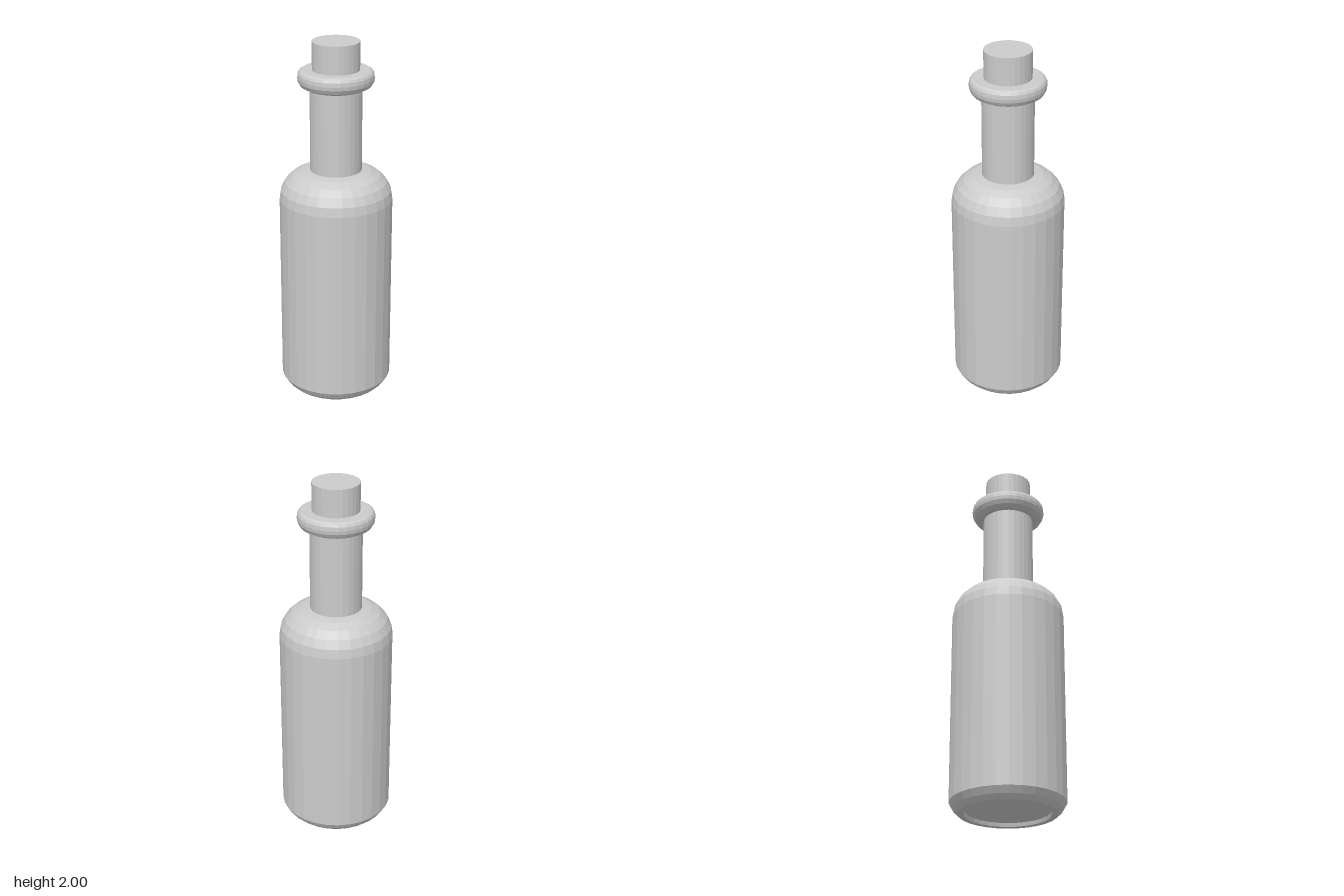
import * as THREE from 'three';

const SIDES = 28;
const material = new THREE.MeshStandardMaterial({ color: 0xcccccc, flatShading: true });

// Revolve a profile of [radius, height] pairs, listed from bottom to top
function revolve(name, profile) {
  const points = profile.map(([r, y]) => new THREE.Vector2(r, y));
  const mesh = new THREE.Mesh(new THREE.LatheGeometry(points, SIDES), material);
  mesh.name = name;
  return mesh;
}

export function createModel() {
  const group = new THREE.Group();
  group.name = 'bottle';

  const bodyR = 0.31, neckR = 0.141;
  const shoulderY = 1.126, neckY = 1.29, steps = 5;

  // Rounded shoulder: quarter ellipse from body wall to neck
  const shoulder = [];
  for (let i = 0; i <= steps; i++) {
    const a = (i / steps) * Math.PI / 2;
    shoulder.push([
      neckR + (bodyR - neckR) * Math.cos(a),
      shoulderY + (neckY - shoulderY) * Math.sin(a),
    ]);
  }

  // Body with recessed base, bevelled foot, shoulder and straight neck
  group.add(revolve('body', [
    [0, 0.02], [0.225, 0.02], [0.23, 0], [0.262, 0], [0.288, 0.024], [bodyR, 0.06],
    ...shoulder,
    [neckR, 1.76],
  ]));

  // Rounded collar around the mouth
  group.add(revolve('collar', [
    [neckR - 0.01, 1.747], [0.165, 1.75], [0.19, 1.763], [0.203, 1.785], [0.206, 1.805],
    [0.204, 1.826], [0.197, 1.839], [0.184, 1.847], [0.12, 1.847],
  ]));

  // Cork stopper
  const cork = new THREE.Mesh(new THREE.CylinderGeometry(0.128, 0.128, 0.2, SIDES), material);
  cork.name = 'cork';
  cork.position.y = 1.9;
  group.add(cork);

  return group;
}
